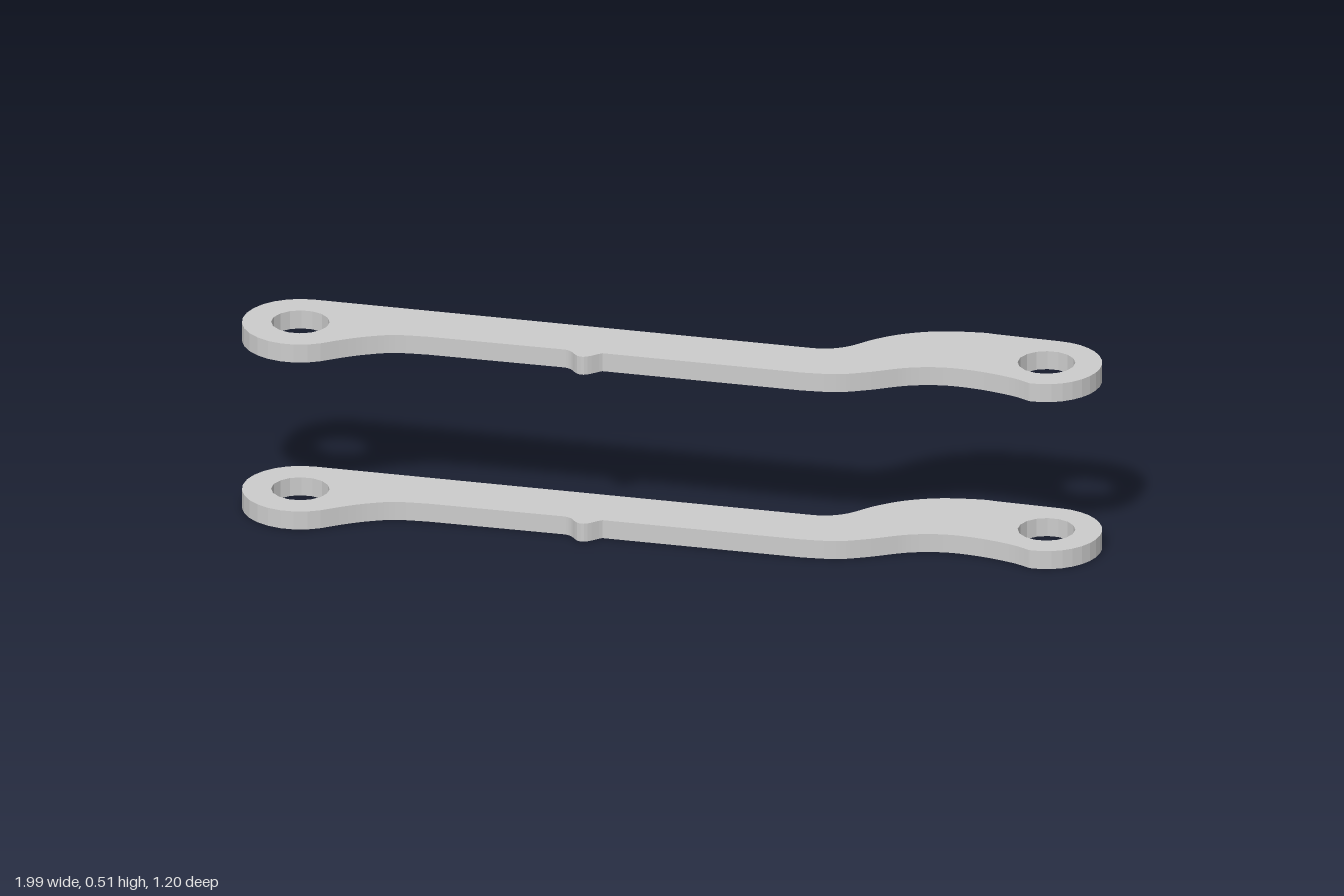
import * as THREE from 'three';

const THICKNESS = 0.05;
const LEVELS = [0, 0.465]; // underside heights of the two plates
const LEFT_EYE = { x: -0.845, z: -0.455, outer: 0.15, hole: 0.075 };
const RIGHT_EYE = { x: 0.857, z: 0.457, outer: 0.143, hole: 0.074 };

const rad = THREE.MathUtils.degToRad;
const points = (list) => list.map(([x, z]) => new THREE.Vector2(x, z));

// Outline drawn in plan: shape x is model x, shape y is model z
function linkShape() {
  const shape = new THREE.Shape();

  // Round end at the back right, then the straight rear edge
  shape.absarc(LEFT_EYE.x, LEFT_EYE.z, LEFT_EYE.outer, rad(90), rad(304.8), false);
  shape.lineTo(0.32, 0.156);

  // Rear side of the bend
  shape.splineThru(points([
    [0.36, 0.177], [0.417, 0.182], [0.5, 0.161], [0.583, 0.155],
    [0.674, 0.172], [0.765, 0.214], [0.8, 0.239],
  ]));

  // Round end at the front left
  shape.absarc(RIGHT_EYE.x, RIGHT_EYE.z, RIGHT_EYE.outer, rad(-55.2), rad(128), false);

  // Front side of the bend, then the straight front edge
  shape.splineThru(points([
    [0.738, 0.52], [0.674, 0.452], [0.6, 0.398], [0.513, 0.367],
    [0.406, 0.358], [0.326, 0.343], [0.246, 0.302],
  ]));
  shape.lineTo(-0.19, 0.006);

  // Small rounded nub
  shape.bezierCurveTo(-0.215, 0.007, -0.257, 0.03, -0.259, -0.015);
  shape.quadraticCurveTo(-0.258, -0.042, -0.278, -0.054);

  // Straight edge and blend back into the first round end
  shape.lineTo(-0.57, -0.249);
  shape.splineThru(points([
    [-0.647, -0.29], [-0.717, -0.305], [-0.78, -0.308], [-0.845, -0.305],
  ]));

  // Pivot holes
  for (const eye of [LEFT_EYE, RIGHT_EYE]) {
    const hole = new THREE.Path();
    hole.absarc(eye.x, eye.z, eye.hole, 0, Math.PI * 2, true);
    shape.holes.push(hole);
  }
  return shape;
}

export function createModel() {
  const group = new THREE.Group();
  group.name = 'linkPlatePair';

  const material = new THREE.MeshStandardMaterial({ color: 0xcccccc, flatShading: true });
  const geometry = new THREE.ExtrudeGeometry(linkShape(), {
    depth: THICKNESS, bevelEnabled: false, curveSegments: 8,
  });
  // Lay the plate flat with its underside on y = 0
  geometry.rotateX(Math.PI / 2);
  geometry.translate(0, THICKNESS, 0);

  // Two identical plates, one above the other
  LEVELS.forEach((y, i) => {
    const plate = new THREE.Mesh(geometry, material);
    plate.name = i === 0 ? 'lowerLinkPlate' : 'upperLinkPlate';
    plate.position.y = y;
    group.add(plate);
  });
  return group;
}
